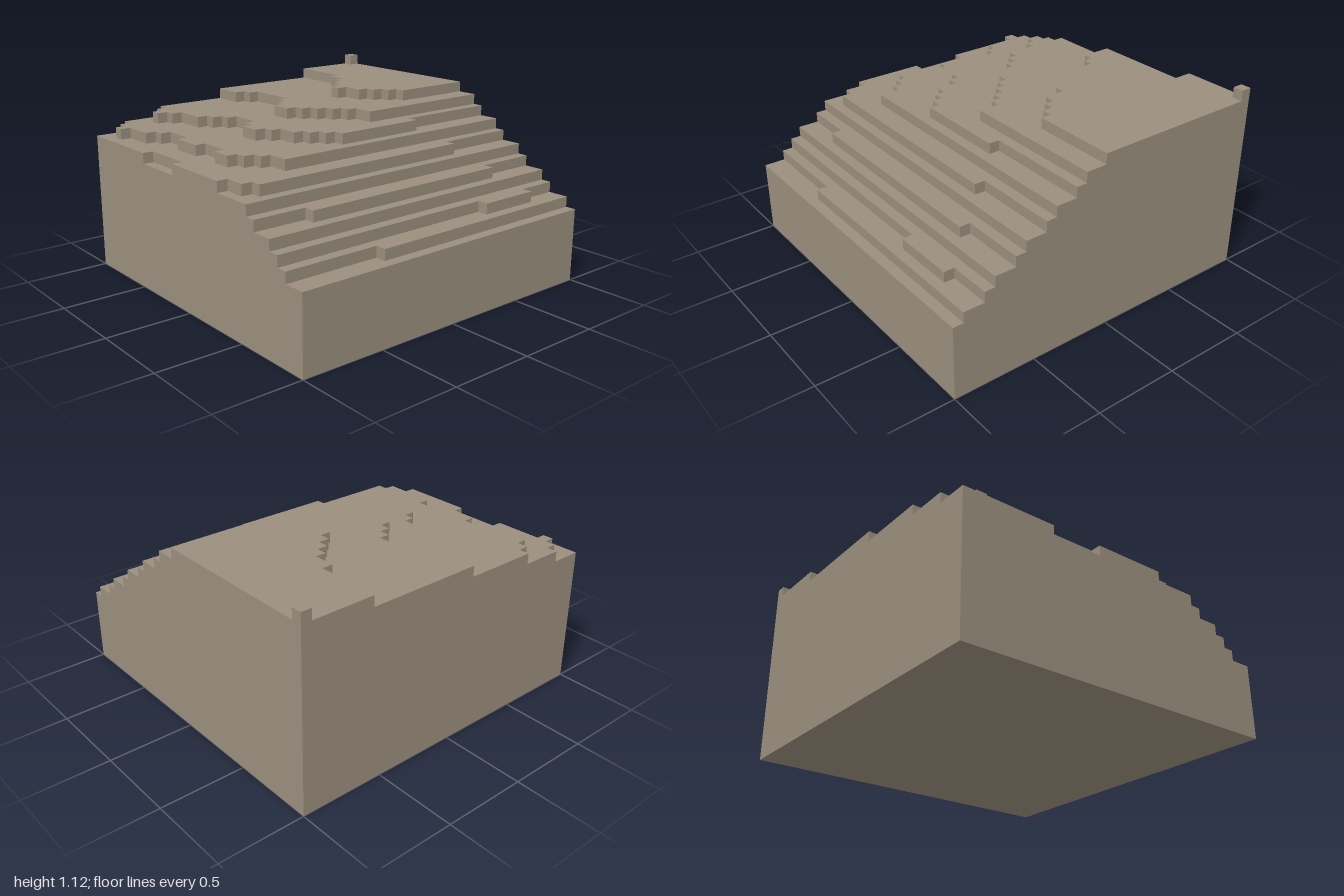
import * as THREE from 'three';

const CELL = 1 / 16; // the terrain sits on a 32 x 32 block grid
const HALF = 16;

// Terrace outlines in grid cells, from the base upward. Each starts at the
// back-left corner and walks the stepped edge as alternating z, x, z, x ...
// until it is back at z = 0.
const BASE_HEIGHT = 7;
const TERRACES = [
  [32, 32, 0],
  [32, 30, 23, 31, 0],
  [32, 29, 10, 30, 4, 29, 0],
  [32, 28, 0],
  [32, 26, 27, 27, 6, 26, 0],
  [32, 25, 0],
  [32, 9, 31, 14, 32, 21, 31, 23, 30, 24, 8, 23, 0],
  [29, 1, 30, 2, 31, 3, 30, 6, 29, 7, 28, 10, 29, 13, 28, 16, 29, 18, 28, 19, 27, 20, 26, 22, 0],
  [25, 1, 26, 2, 27, 3, 26, 4, 25, 7, 24, 8, 23, 9, 22, 12, 23, 13, 24, 15, 23, 16, 22, 18,
    21, 19, 20, 20, 19, 21, 10, 20, 0],
  [18, 3, 17, 4, 16, 9, 17, 10, 18, 11, 19, 13, 18, 14, 17, 15, 16, 16, 15, 17, 14, 19, 0],
  [7, 6, 8, 8, 9, 9, 10, 10, 11, 11, 12, 12, 11, 14, 10, 15, 9, 16, 8, 17, 0],
  [1, 1, 0],
];

// Slab with a stepped outline, between two heights given in cells
function slab(steps, bottom, top) {
  const toPoint = (x, z) => new THREE.Vector2((x - HALF) * CELL, (HALF - z) * CELL);
  let x = 0, z = 0;
  const points = [toPoint(x, z)];
  steps.forEach((value, i) => {
    if (i % 2 === 0) z = value;
    else x = value;
    points.push(toPoint(x, z));
  });
  const geometry = new THREE.ExtrudeGeometry(new THREE.Shape(points), {
    depth: (top - bottom) * CELL,
    bevelEnabled: false,
  });
  geometry.rotateX(-Math.PI / 2);
  geometry.translate(0, bottom * CELL, 0);
  return geometry;
}

export function createModel() {
  const group = new THREE.Group();
  group.name = 'terracedHillside';
  const stone = new THREE.MeshStandardMaterial({ color: 0x9b8f7e });
  stone.name = 'stone';

  // Thick base, thin terraces and a single block on the back corner
  TERRACES.forEach((steps, i) => {
    const top = BASE_HEIGHT + i;
    const mesh = new THREE.Mesh(slab(steps, i === 0 ? 0 : top - 1, top), stone);
    mesh.name = i === 0 ? 'base' : i === TERRACES.length - 1 ? 'cornerBlock' : `terrace${i}`;
    group.add(mesh);
  });
  return group;
}
